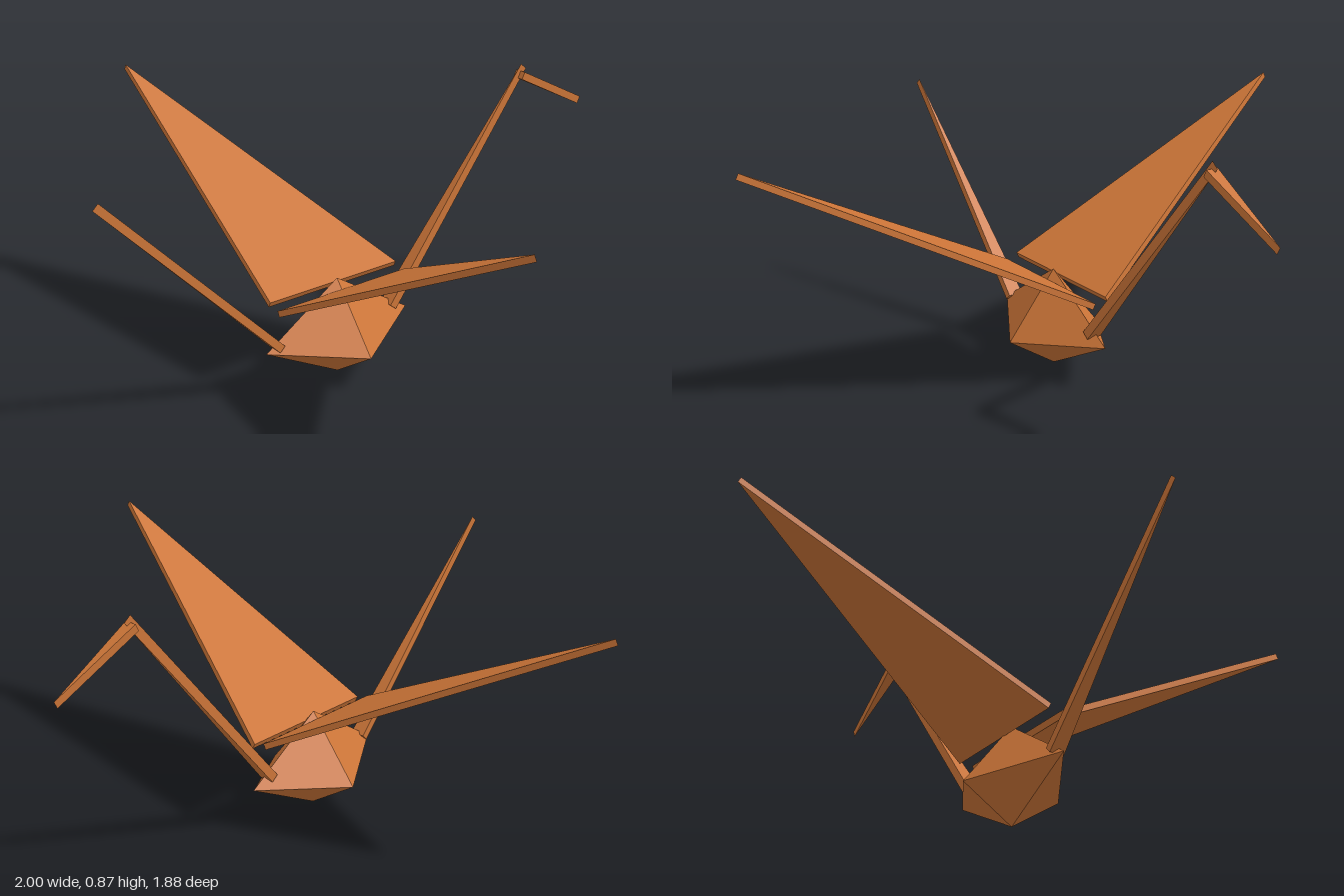
import * as THREE from 'three';

const paper = new THREE.MeshStandardMaterial({ color: 0xcc7538 });
paper.name = 'orange paper';

function facetMesh(name, triangles) {
  const geometry = new THREE.BufferGeometry().setFromPoints(triangles);
  geometry.computeVertexNormals();
  const mesh = new THREE.Mesh(geometry, paper);
  mesh.name = name;
  return mesh;
}

// Triangular sheet of even thickness, centred on the plane of its corners
function triangleSheet(name, corners, thickness) {
  const p = corners.map(c => new THREE.Vector3(...c));
  const offset = new THREE.Triangle(...p).getNormal(new THREE.Vector3()).multiplyScalar(thickness / 2);
  const top = p.map(v => v.clone().add(offset));
  const low = p.map(v => v.clone().sub(offset));
  const tris = [...top, low[2], low[1], low[0]];
  for (let i = 0; i < 3; i++) {
    const j = (i + 1) % 3;
    tris.push(low[i], low[j], top[j], low[i], top[j], top[i]);
  }
  return facetMesh(name, tris);
}

// Sheet tapering from a level base edge to a point in the middle plane; ends are [y, z]
function taperedStrip(name, base, tip, halfWidth, thickness) {
  return triangleSheet(name, [[-halfWidth, ...base], [halfWidth, ...base], [0, ...tip]], thickness);
}

// Folded body: an eight-sided diamond with slightly dropped side corners
function createBody() {
  const ring = [[0, 0.145, 0.38], [0.17, 0.11, 0.105], [0, 0.145, -0.175], [-0.17, 0.11, 0.105]]
    .map(c => new THREE.Vector3(...c));
  const peak = new THREE.Vector3(0, 0.325, 0.105);
  const keel = new THREE.Vector3(0, 0, 0.105);
  const tris = [];
  ring.forEach((a, i) => {
    const b = ring[(i + 1) % 4];
    tris.push(a, b, peak, b, a, keel);
  });
  return facetMesh('body', tris);
}

export function createModel() {
  const group = new THREE.Group();
  group.name = 'folded paper bird';
  group.add(createBody());

  // Wings, the right one set slightly higher
  for (const [name, side, y] of [['leftWing', 1, 0.281], ['rightWing', -1, 0.295]]) {
    group.add(triangleSheet(name, [
      [side * 0.023, y, 0.347],
      [side * 0.023, y, -0.148],
      [side * 0.995, y + 0.497, 0.24],
    ], 0.02));
  }

  group.add(
    taperedStrip('neck', [0.17, -0.103], [0.861, -0.667], 0.025, 0.029),
    taperedStrip('head', [0.836, -0.649], [0.69, -0.933], 0.02, 0.025),
    taperedStrip('tail', [0.158, 0.335], [0.773, 0.93], 0.025, 0.026),
  );
  return group;
}
